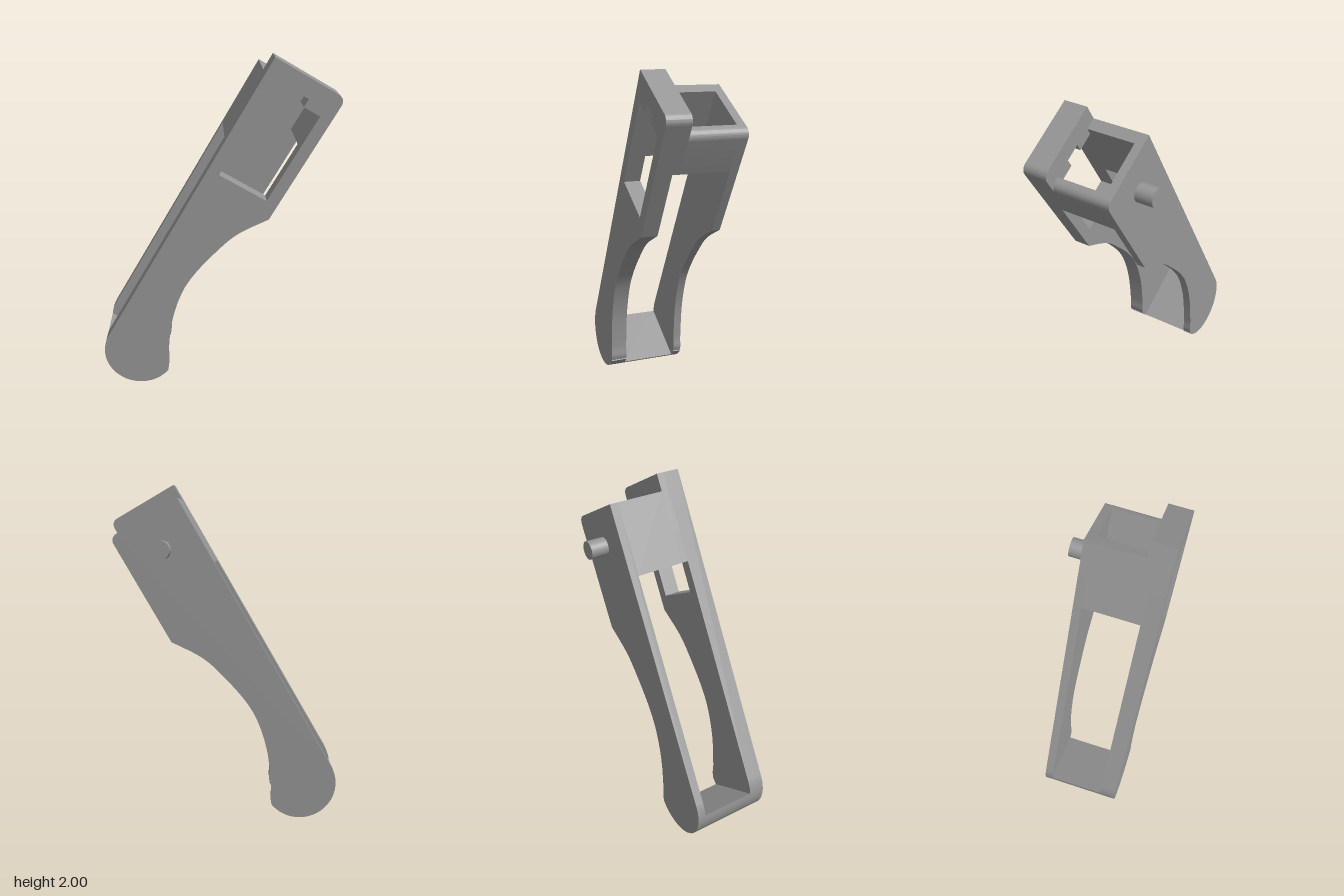
import * as THREE from 'three';
import { toCreasedNormals } from 'three/addons/utils/BufferGeometryUtils.js';

const WIDTH = 0.453;          // width of the arm
const BOX_TOP = 1.85;         // top of the hollow head
const PLATE_TOP = 1.954;      // top of the taller front plate
const END = { t: 0.217, s: 0.02, r: 0.217 }; // rounded foot

// Finger curve on the inner side of the arm
const CURVE = [
  [0.427, -0.013], [0.417, 0.02], [0.375, 0.09], [0.29, 0.287], [0.248, 0.476],
  [0.251, 0.63], [0.292, 0.824], [0.344, 0.977], [WIDTH, 1.145],
].map(([t, s]) => new THREE.Vector2(t, s));

// Finishes an outline with a rounded top corner
function roundedTop(shape, top, r = 0.045) {
  shape.lineTo(WIDTH, top - r);
  shape.absarc(WIDTH - r, top - r, r, 0, Math.PI / 2, false);
  shape.closePath();
  return shape;
}

function armOutline(top) {
  const shape = new THREE.Shape();
  shape.moveTo(0, top);
  shape.lineTo(0, END.s);
  shape.absarc(END.t, END.s, END.r, Math.PI, 2 * Math.PI - 0.16, false);
  shape.lineTo(CURVE[0].x, CURVE[0].y);
  shape.splineThru(CURVE.slice(1));
  return roundedTop(shape, top);
}

function polygon(points, Type = THREE.Shape) {
  return new Type(points.map(([t, s]) => new THREE.Vector2(t, s)));
}

// Notched window through the front plate
function windowHole() {
  return polygon([
    [0.07, 1.235], [0.07, 1.803], [0.177, 1.803], [0.177, 1.852],
    [0.277, 1.852], [0.277, 1.8], [0.383, 1.8], [0.383, 1.235],
  ], THREE.Path);
}

export function createModel() {
  const model = new THREE.Group();
  const arm = new THREE.Group();
  arm.name = 'arm';
  arm.rotation.z = -Math.PI / 6;
  arm.position.set(-0.67, 0.31, 0);
  model.add(arm);

  const grey = new THREE.MeshStandardMaterial({ color: 0x969696 });
  grey.name = 'grey';

  function slab(name, shape, z0, z1) {
    const geometry = new THREE.ExtrudeGeometry(shape, {
      depth: z1 - z0, bevelEnabled: false, curveSegments: 32,
    });
    geometry.translate(0, 0, z0);
    const mesh = new THREE.Mesh(toCreasedNormals(geometry, 0.4), grey);
    mesh.name = name;
    arm.add(mesh);
  }

  // Two side plates
  const front = armOutline(PLATE_TOP);
  front.holes.push(windowHole());
  slab('frontPlate', front, 0.2, 0.3);
  slab('backPlate', armOutline(BOX_TOP), -0.19, -0.14);

  // Thicker upper part of the front plate, with the window carried through
  const thick = new THREE.Shape();
  thick.moveTo(0, PLATE_TOP);
  thick.lineTo(0, 1.59);
  thick.lineTo(0.07, 1.59);
  thick.lineTo(0.07, 1.803);
  thick.lineTo(0.177, 1.803);
  thick.lineTo(0.177, 1.852);
  thick.lineTo(0.277, 1.852);
  thick.lineTo(0.277, 1.8);
  thick.lineTo(0.383, 1.8);
  thick.lineTo(0.383, 1.59);
  thick.lineTo(WIDTH, 1.59);
  slab('frontPlateThickening', roundedTop(thick, PLATE_TOP), 0.155, 0.2);

  // Side walls of the hollow head, open at the top and below
  slab('outerWall', polygon([[0, 1.42], [0.07, 1.42], [0.07, BOX_TOP], [0, BOX_TOP]]), -0.14, 0.155);
  slab('outerWallFoot', polygon([[0, 1.42], [0.07, 1.42], [0.07, 1.59], [0, 1.59]]), 0.155, 0.2);
  const inner = new THREE.Shape();
  inner.moveTo(0.383, BOX_TOP);
  inner.lineTo(0.383, 1.59);
  inner.lineTo(WIDTH, 1.59);
  slab('innerWall', roundedTop(inner, BOX_TOP), -0.14, 0.155);

  // Flat-topped block joining the plates at the foot
  const cap = new THREE.Shape();
  cap.absarc(END.t, END.s, END.r, Math.PI + 0.403, 2 * Math.PI - 0.403, false);
  cap.closePath();
  slab('footBlock', cap, -0.14, 0.2);

  // Pivot peg on the back
  const peg = new THREE.Mesh(new THREE.CylinderGeometry(0.055, 0.055, 0.11, 40), grey);
  peg.name = 'pivotPeg';
  peg.rotation.x = Math.PI / 2;
  peg.position.set(0.2265, 1.638, -0.245);
  arm.add(peg);

  return model;
}
